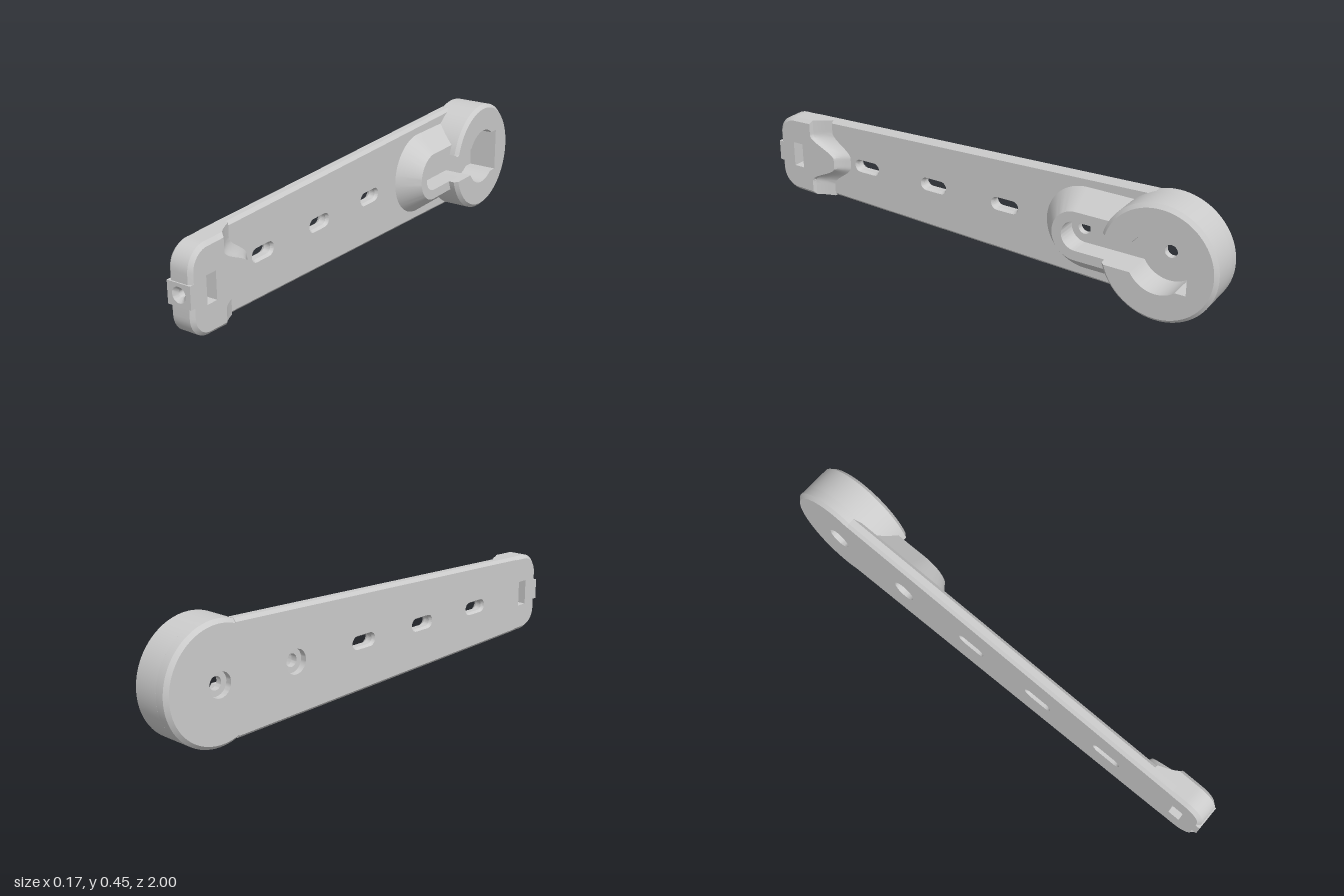
import * as THREE from 'three';
import { toCreasedNormals } from 'three/addons/utils/BufferGeometryUtils.js';

const CY = 0.226; // height of the arm's centre line
const PI = Math.PI;
const material = new THREE.MeshStandardMaterial({ color: 0xcccccc });

// Points on an arc, from angle a to angle b
function arc(cu, cv, r, a, b, n = 24) {
  return Array.from({ length: n + 1 }, (_, i) => {
    const t = a + (b - a) * i / n;
    return [cu + r * Math.cos(t), cv + r * Math.sin(t)];
  });
}

// Closed loops for holes (clockwise)
const circle = (cu, r, n = 40) => arc(cu, 0, r, 0, -2 * PI * (n - 1) / n, n - 1);
const rect = (u0, u1, h) => [[u0, -h], [u0, h], [u1, h], [u1, -h]];
const slot = (cu, half, r) => [
  ...arc(cu + half - r, 0, r, PI / 2, -PI / 2, 12),
  ...arc(cu - half + r, 0, r, -PI / 2, -1.5 * PI, 12),
];

// Solid through levels { w, loops: [outline counter-clockwise, ...holes] }
function loft(levels) {
  const pos = [];
  const tri = (a, b, c) => pos.push(...a, ...b, ...c);
  const at = (p, w) => [p[0], p[1], w];
  for (let k = 0; k < levels.length - 1; k++) {
    const lo = levels[k], hi = levels[k + 1];
    lo.loops.forEach((loop, l) => loop.forEach((p, i) => {
      const j = (i + 1) % loop.length, up = hi.loops[l];
      const a = at(p, lo.w), b = at(loop[j], lo.w), c = at(up[j], hi.w), d = at(up[i], hi.w);
      tri(a, b, c);
      tri(a, c, d);
    }));
  }
  for (const top of [false, true]) {
    const { w, loops } = levels[top ? levels.length - 1 : 0];
    const v = loops.map(l => l.map(p => new THREE.Vector2(...p)));
    const all = loops.flat();
    for (const [a, b, c] of THREE.ShapeUtils.triangulateShape(v[0], v.slice(1))) {
      const A = at(all[a], w), B = at(all[b], w), C = at(all[c], w);
      const ccw = (B[0] - A[0]) * (C[1] - A[1]) - (B[1] - A[1]) * (C[0] - A[0]) > 0;
      if (ccw === top) tri(A, B, C); else tri(A, C, B);
    }
  }
  const g = new THREE.BufferGeometry();
  g.setAttribute('position', new THREE.Float32BufferAttribute(pos, 3));
  return toCreasedNormals(g, 0.45);
}

// Half height of the tapering arm; u runs towards the back
const halfWidth = u => 0.163 + 0.05 * Math.max(0, u + 0.9) / 1.6;

export function createModel() {
  const group = new THREE.Group();
  const add = (name, geometry, sideways = true) => {
    if (sideways) geometry.rotateY(PI / 2); // u -> -z, w -> x
    const mesh = new THREE.Mesh(geometry, material);
    mesh.name = name;
    mesh.position.y = CY;
    group.add(mesh);
  };

  // Arm plate with chamfered rims, three slots and a countersunk screw hole
  const plate = (w, inset, grow, r) => {
    const a = halfWidth(-0.85) - inset, b = halfWidth(0.7) - inset;
    return { w, loops: [
      [[-0.85, -a], [0.7, -b], [0.7, b], [-0.85, a]],
      ...[-0.575, -0.245, 0.085].map(u => slot(u, 0.054 + grow, 0.02 + grow)),
      circle(0.43, r),
    ] };
  };
  add('armPlate', loft([
    plate(-0.085, 0.012, 0.007, 0.047), plate(-0.073, 0, 0, 0.047),
    plate(-0.06, 0, 0, 0.047), plate(-0.0595, 0, 0, 0.025),
    plate(-0.047, 0, 0, 0.025), plate(-0.035, 0.012, 0.007, 0.025),
  ]));

  // Thick front block, sloping down to the plate with a rounded tongue
  const NOTCH = 0.042;
  const block = (w, inset, t) => {
    const f = -0.995 + inset, r = 0.085 - inset, h = 0.163 - inset;
    const edge = v => {
      const b = 1 - THREE.MathUtils.smoothstep(Math.abs(v), 0.02, 0.115 - 0.015 * t);
      return THREE.MathUtils.lerp(-0.75, -0.83, t) + THREE.MathUtils.lerp(0.09, 0.12, t) * b;
    };
    const back = Array.from({ length: 41 }, (_, i) => {
      const s = i / 20 - 1;
      const v = s * (halfWidth(edge(0.163)) - inset);
      return [edge(v), v];
    });
    return { w, loops: [[
      ...arc(f + r, h - r, r, PI / 2, PI, 10),
      [f, NOTCH], [-0.94, NOTCH], [-0.94, -NOTCH], [f, -NOTCH],
      ...arc(f + r, r - h, r, PI, 1.5 * PI, 10),
      [-0.9, -h], ...back, [-0.9, h],
    ], rect(-0.922, -0.875, 0.052)] };
  };
  add('frontBlock', loft([
    block(-0.085, 0.014, 0), block(-0.071, 0, 0), block(-0.035, 0, 0),
    block(-0.022, 0, 0.4), block(-0.01, 0, 0.7), block(0, 0, 0.9), block(0.013, 0.014, 1),
  ]));

  // Front pad with a funnel-shaped screw hole
  const pad = (w, r) => ({ w, loops: [
    [[-0.085, -NOTCH], [0.013, -NOTCH], [0.013, NOTCH], [-0.085, NOTCH]],
    circle(0, r).map(([x, y]) => [x - 0.036, y]),
  ] });
  add('frontPad', loft([pad(0.94, 0.014), pad(0.985, 0.014), pad(1, 0.029)]), false);

  // Sloped boss around the keyhole channel
  const CH = 0.058; // half height of the channel
  const boss = (w, R) => ({ w, loops: [[
    ...arc(0.435, 0, R, PI / 2, 1.5 * PI, 32), [0.64, -R], [0.64, -CH],
    ...arc(0.435, 0, CH, 1.5 * PI, PI / 2, 32), [0.64, CH], [0.64, R],
  ]] });
  add('channelBoss', loft([boss(-0.036, 0.165), boss(0.048, 0.097)]));

  // Floor of the round head, with a screw hole
  const DU = 0.775;
  const floor = (w, R, r) => ({ w, loops: [circle(DU, R, 80).reverse(), circle(DU, r)] });
  add('headFloor', loft([
    floor(-0.085, 0.211, 0.047), floor(-0.071, 0.225, 0.047), floor(-0.06, 0.225, 0.047),
    floor(-0.0595, 0.225, 0.025), floor(-0.035, 0.225, 0.025),
  ]));

  // Wall of the round head: open towards the channel, with a square recess at the back
  const wall = (w, R) => {
    const o = PI - Math.asin(CH / R), i = PI - Math.asin(CH / 0.115), c = Math.asin(0.088 / 0.115);
    return { w, loops: [[
      ...arc(DU, 0, R, -o, o, 80),
      ...arc(DU, 0, 0.115, i, c, 16), [0.89, 0.088],
      [0.89, -0.088], ...arc(DU, 0, 0.115, -c, -i, 16),
    ]] };
  };
  add('headWall', loft([wall(-0.035, 0.225), wall(0.071, 0.225), wall(0.085, 0.211)]));

  return group;
}
